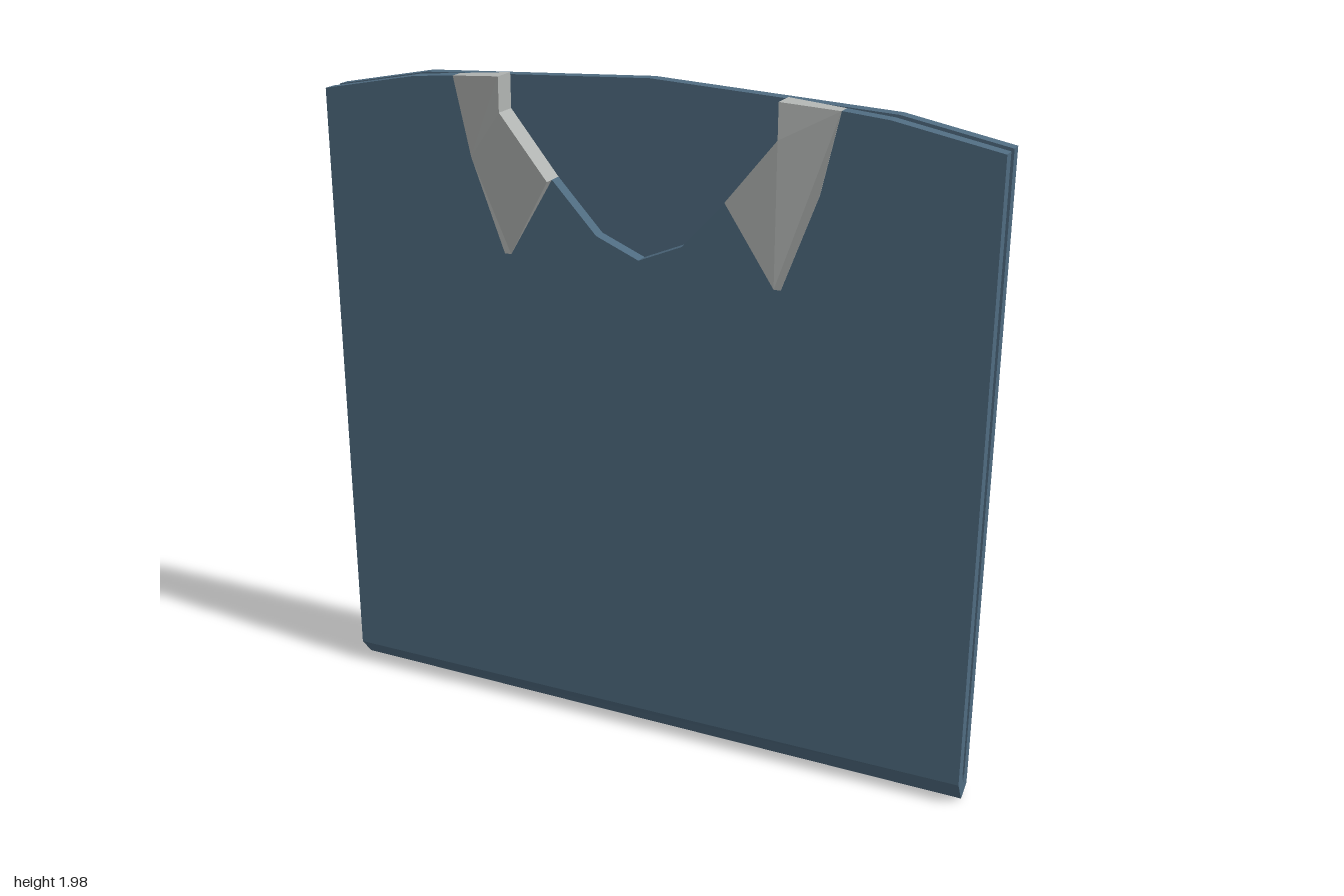
import * as THREE from 'three';

const fabric = new THREE.MeshStandardMaterial({ color: 0x4f6b80 });
fabric.name = 'blue fabric';
const trim = new THREE.MeshStandardMaterial({ color: 0xb2b5b3 });
trim.name = 'grey collar';

// Extrude an outline, then move its vertices by a rule
function slab(name, points, depth, material, rule) {
  const shape = new THREE.Shape(points.map(([x, y]) => new THREE.Vector2(x, y)));
  const geometry = new THREE.ExtrudeGeometry(shape, { depth, bevelEnabled: false });
  const p = geometry.attributes.position;
  const v = new THREE.Vector3();
  for (let i = 0; i < p.count; i++) {
    v.fromBufferAttribute(p, i);
    rule(v);
    p.setXYZ(i, v.x, v.y, v.z);
  }
  geometry.computeVertexNormals();
  const mesh = new THREE.Mesh(geometry, material);
  mesh.name = name;
  return mesh;
}

// Complete a right-hand outline (bottom to top) with its mirror image
const mirrored = (half) => [
  ...half,
  ...half.filter(([x]) => x !== 0).reverse().map(([x, y]) => [-x, y]),
];

export function createModel() {
  const group = new THREE.Group();
  group.name = 'foldedShirt';

  // Front panel, cut out around the neckline and collar flaps
  const front = mirrored([
    [1, 0.07], [1, 1.885], [0.7, 1.943], [0.57, 1.955], [0.52, 1.73],
    [0.42, 1.46], [0.4, 1.46], [0.265, 1.69], [0.13, 1.545], [0, 1.49],
  ]);
  group.add(slab('frontPanel', front, 0.04, fabric, () => {}));

  // Back panel, leaning slightly away from the front towards the top
  const back = mirrored([[1, 0.07], [1, 1.885], [0.7, 1.943], [0, 1.98]]);
  group.add(slab('backPanel', back, 0.037, fabric, (v) => {
    v.z -= 0.057 + 0.013 * (v.y - 0.07) / 1.9;
  }));

  // Bottom fold joining both panels: profile in z and y, run along x
  const fold = [
    [0.04, 0.07], [0, 0.07], [-0.015, 0.05], [-0.02, 0.07],
    [-0.057, 0.07], [-0.055, 0.03], [-0.003, 0.008],
  ];
  group.add(slab('bottomFold', fold, 2, fabric, (v) => {
    const z = v.x;
    v.x = 1 - v.z;
    v.z = z;
    if (v.y < 0.04) v.y -= 0.007 * v.x;
  }));

  // Collar flaps, thickest along the neck and thin at the tip and outer edge
  const flap = [
    [0.57, 1.955], [0.41, 1.97], [0.41, 1.87], [0.265, 1.69],
    [0.4, 1.46], [0.42, 1.46], [0.52, 1.73],
  ];
  for (const side of [1, -1]) {
    const outline = flap.map(([x, y]) => [x * side, y]);
    group.add(slab(side > 0 ? 'leftCollar' : 'rightCollar', outline, 1, trim, (v) => {
      if (v.z < 0.5) return;
      const thick = Math.abs(v.x) < 0.415 && v.y > 1.6;
      v.z = thick ? 0.07 : 0.042;
    }));
  }
  return group;
}
